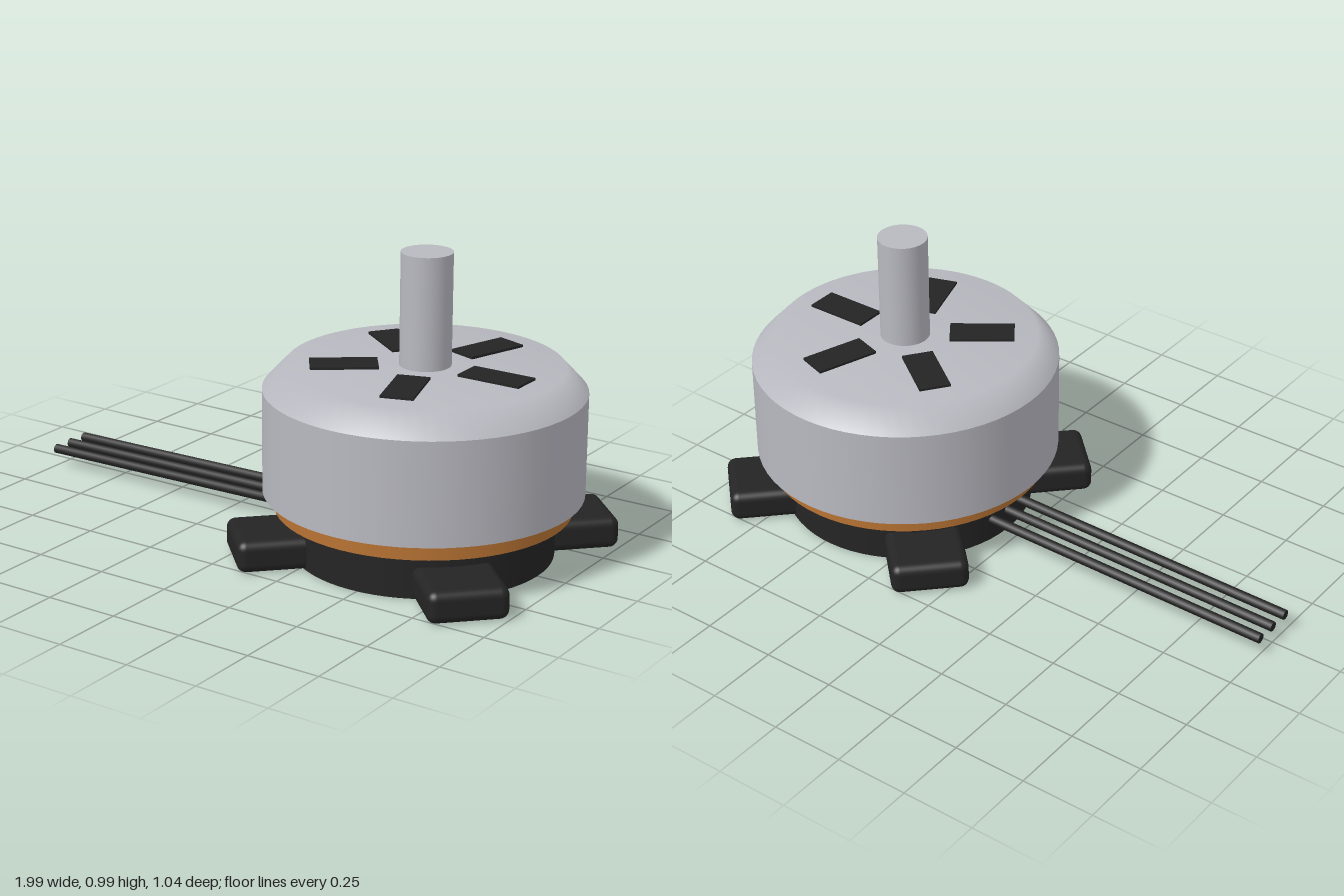
import * as THREE from 'three';
import { RoundedBoxGeometry } from 'three/addons/geometries/RoundedBoxGeometry.js';

const CX = 0.475; // motor axis

export function createModel() {
  const model = new THREE.Group();
  model.name = 'brushlessMotor';

  const material = (name, color) => {
    const m = new THREE.MeshStandardMaterial({ color });
    m.name = name;
    return m;
  };
  const metal = material('silver metal', 0xb8b8c0);
  const copper = material('copper winding', 0xb87333);
  const black = material('black', 0x242424);

  const motor = new THREE.Group();
  motor.name = 'motor';
  motor.position.x = CX;
  model.add(motor);

  const add = (parent, name, geometry, mat, x = 0, y = 0, z = 0) => {
    const mesh = new THREE.Mesh(geometry, mat);
    mesh.name = name;
    mesh.position.set(x, y, z);
    parent.add(mesh);
    return mesh;
  };
  const disc = (name, radius, y0, y1, mat) =>
    add(motor, name, new THREE.CylinderGeometry(radius, radius, y1 - y0, 64), mat, 0, (y0 + y1) / 2);
  const lathe = (name, points) =>
    add(motor, name, new THREE.LatheGeometry(points.map(p => new THREE.Vector2(...p)), 64), metal);

  // Stationary base, winding ring and output shaft
  disc('base', 0.425, 0, 0.15, black);
  disc('winding', 0.48, 0.15, 0.52, copper);
  disc('shaft', 0.083, 0.58, 0.99, metal);

  // Hollow bell: separate lathes keep the rim and shoulder edges sharp
  lathe('bellWall', [[0.517, 0.205], [0.517, 0.545]]);
  lathe('bellCrown', [[0.517, 0.545], [0.445, 0.622], [0, 0.622]]);
  lathe('bellRim', [[0.5, 0.205], [0.517, 0.205]]);
  lathe('bellInside', [[0.5, 0.54], [0.5, 0.205]]);

  // Magnets lining the bell
  const magnets = 14;
  for (let i = 0; i < magnets; i++) {
    const spin = new THREE.Group();
    spin.name = 'magnetMount';
    spin.rotation.y = (i / magnets) * Math.PI * 2;
    add(spin, 'magnet', new THREE.BoxGeometry(0.012, 0.3, 0.16), black, 0.49, 0.36, 0);
    motor.add(spin);
  }

  // Dark cooling slots on the crown
  for (let i = 0; i < 5; i++) {
    const a = (i / 5) * Math.PI * 2;
    const slot = add(motor, 'coolingSlot', new THREE.BoxGeometry(0.217, 0.009, 0.105), black,
      0.258 * Math.cos(a), 0.6255, -0.258 * Math.sin(a));
    slot.rotation.y = a;
  }

  // Four rounded mounting feet on the diagonals
  for (let i = 0; i < 4; i++) {
    const a = Math.PI / 4 + (i * Math.PI) / 2;
    const foot = add(motor, 'mountingFoot', new RoundedBoxGeometry(0.324, 0.105, 0.257, 4, 0.03), black,
      0.462 * Math.cos(a), 0.0525, -0.462 * Math.sin(a));
    foot.rotation.y = a;
  }

  // Three lead wires leaving the base sideways
  for (const z of [-0.075, 0, 0.075]) {
    const start = new THREE.Vector3(0.15, 0.078, z);
    const end = new THREE.Vector3(-1, 0.062, z);
    const wire = add(model, 'leadWire',
      new THREE.CylinderGeometry(0.017, 0.017, start.distanceTo(end), 8), black);
    wire.position.copy(start).lerp(end, 0.5);
    wire.quaternion.setFromUnitVectors(new THREE.Vector3(0, 1, 0), end.clone().sub(start).normalize());
  }

  return model;
}
